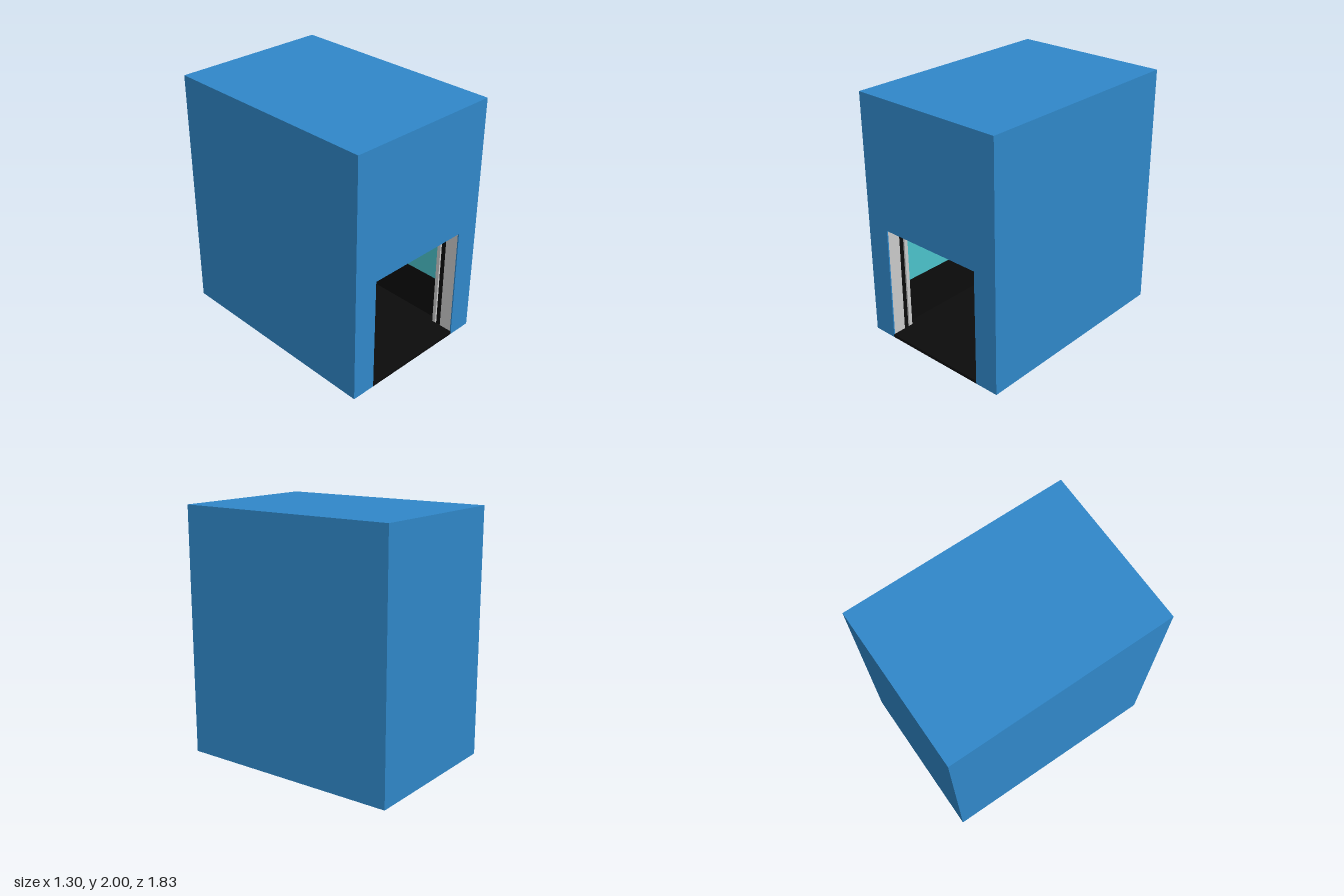
import * as THREE from 'three';

const mat = (color) => new THREE.MeshStandardMaterial({ color });

export function createModel() {
  const model = new THREE.Group();
  const blue = mat(0x3088ca), teal = mat(0x4cc4cc), black = mat(0x0c0c0c), grey = mat(0xcccccc);

  // Box given by its min and max corners
  function box(name, material, x0, x1, y0, y1, z0, z1) {
    const mesh = new THREE.Mesh(new THREE.BoxGeometry(x1 - x0, y1 - y0, z1 - z0), material);
    mesh.position.set((x0 + x1) / 2, (y0 + y1) / 2, (z0 + z1) / 2);
    mesh.name = name;
    model.add(mesh);
  }
  // Same box on both sides, x given for the left (+x)
  function pair(name, material, x0, x1, ...rest) {
    box(name + 'Left', material, x0, x1, ...rest);
    box(name + 'Right', material, -x1, -x0, ...rest);
  }

  const W = 0.65, D = 0.915, H = 2;          // outer half width, half depth, height
  const doorX = 0.45, doorY = 0.95;          // doorway
  const inX = 0.5, backZ = -0.88, frontZ = 0.72, ceilY = 1.2; // cabin interior
  const t = 0.01;                            // cladding thickness

  // Front cladding with the doorway cut out
  const front = new THREE.Shape();
  [[-W, 0], [-doorX, 0], [-doorX, doorY], [doorX, doorY], [doorX, 0], [W, 0], [W, H], [-W, H]]
    .forEach(([x, y], i) => (i ? front.lineTo(x, y) : front.moveTo(x, y)));
  const frontPanel = new THREE.Mesh(
    new THREE.ExtrudeGeometry(front, { depth: t, bevelEnabled: false }), blue);
  frontPanel.position.z = D - t;
  frontPanel.name = 'frontCladding';
  model.add(frontPanel);

  // Remaining outer cladding
  pair('sideCladding', blue, W - t, W, 0, H, -D, D - t);
  box('backCladding', blue, -W + t, W - t, 0, H, -D, -D + t);
  box('roof', blue, -W + t, W - t, H - t, H, -D + t, D - t);

  // Inner walls, ceiling and lintel
  pair('sideWall', teal, inX, W - t, 0, ceilY, -D + t, D - t);
  box('backWall', teal, -inX, inX, 0, ceilY, -D + t, backZ);
  box('ceiling', teal, -W + t, W - t, ceilY, ceilY + 0.05, -D + t, D - t);
  box('lintel', teal, -inX, inX, doorY, ceilY, frontZ, D - t);

  // Dark lower wall panels and blue skirting below the floor
  const p = 0.004;
  pair('sideWainscot', black, inX - p, inX, 0.02, 0.4, backZ, frontZ);
  box('backWainscot', black, -inX, inX, 0, 0.4, backZ, backZ + p);
  pair('skirting', blue, inX - p, inX, 0, 0.02, backZ + p, frontZ);

  // Door frame: grey jambs with the recessed dark edge of a sliding door between them
  pair('outerJamb', grey, doorX, inX, 0, doorY, 0.8, D - t);
  pair('doorEdge', black, doorX + 0.015, inX, 0, doorY, 0.75, 0.8);
  pair('innerJamb', grey, doorX, inX, 0, doorY, frontZ, 0.75);

  // Floor and threshold
  box('floor', black, -inX + p, inX - p, 0.02, 0.025, backZ + p, frontZ);
  box('threshold', black, -doorX, doorX, 0, 0.025, frontZ, D);

  return model;
}
